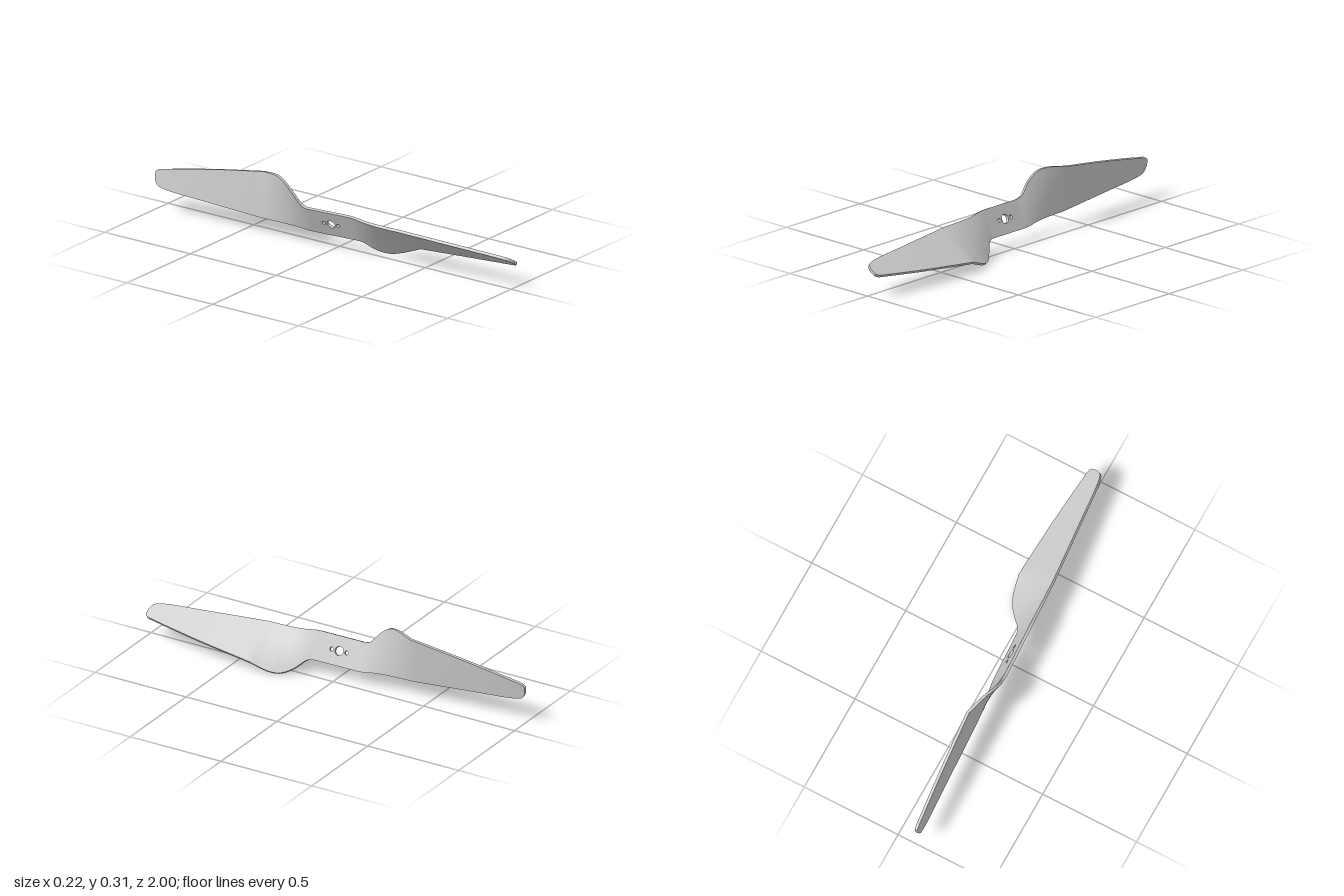
import * as THREE from 'three';
import { toCreasedNormals } from 'three/addons/utils/BufferGeometryUtils.js';

const THICK = 0.014;
const HUB = 0.12; // half length of the flat hub
const HALF_WIDTH = 0.071;
const CHORD = 8;

// Edge points: distance from the hub, across the chord, along the shaft
const LEAD_ROOT = [[0.12, 0.071, 0], [0.15, 0.068, -0.001], [0.2, 0.059, -0.003], [0.25, 0.054, -0.005], [0.3, 0.051, -0.006], [0.4, 0.048, -0.007]];
const TRAIL_ROOT = [[0.12, -0.071, 0], [0.15, -0.08, 0.006], [0.2, -0.133, 0.025], [0.25, -0.167, 0.05], [0.3, -0.172, 0.073], [0.4, -0.149, 0.103]];
const LEAD_TIP = [[0.4, 0.048, -0.007], [0.7, 0.023, -0.002], [0.95, 0, 0.004], [0.985, -0.012, 0.011], [1, -0.035, 0.026]];
const TRAIL_TIP = [[0.4, -0.149, 0.103], [0.7, -0.114, 0.08], [0.95, -0.079, 0.055], [0.985, -0.073, 0.051], [1, -0.063, 0.045]];

function sampleEdge(root, tip) {
  const curve = (pts) => new THREE.CatmullRomCurve3(pts.map(([s, u, v]) => new THREE.Vector3(-s, u, v)));
  const points = [];
  const add = (c, n, first) => {
    for (let i = first; i <= n; i++) points.push(c.getPoint(i / n));
  };
  add(curve(root), 30, 0);
  add(curve(tip), 24, 1);
  return points;
}

// Twisted blade: straight chords between both edges, given thickness
function bladeGeometry() {
  const lead = sampleEdge(LEAD_ROOT, TRAIL_ROOT && LEAD_TIP);
  const trail = sampleEdge(TRAIL_ROOT, TRAIL_TIP);
  const ring = 2 * (CHORD + 1);
  const positions = [];
  const index = [];
  lead.forEach((a, j) => {
    const b = trail[j];
    const normal = new THREE.Vector3(0, b.z - a.z, a.y - b.y).setLength(THICK / 2);
    for (let k = 0; k < ring; k++) {
      const top = k <= CHORD;
      const p = a.clone().lerp(b, (top ? k : ring - 1 - k) / CHORD);
      p.addScaledVector(normal, top ? 1 : -1);
      positions.push(p.x, p.y, p.z);
    }
    if (j === 0) return;
    for (let k = 0; k < ring; k++) {
      const p = (j - 1) * ring + k;
      const q = (j - 1) * ring + (k + 1) % ring;
      index.push(p, p + ring, q, q, p + ring, q + ring);
    }
  });
  // Tip cap
  const last = (lead.length - 1) * ring;
  for (let i = 0; i < CHORD; i++) {
    const t = last + i;
    const b = last + ring - 1 - i;
    index.push(t, b, t + 1, t + 1, b, b - 1);
  }
  const geometry = new THREE.BufferGeometry();
  geometry.setAttribute('position', new THREE.Float32BufferAttribute(positions, 3));
  geometry.setIndex(index);
  return toCreasedNormals(geometry, 0.6);
}

// Flat hub plate with a shaft hole and two pin holes
function hubGeometry() {
  const shape = new THREE.Shape();
  shape.moveTo(-HUB, -HALF_WIDTH);
  shape.lineTo(HUB, -HALF_WIDTH);
  shape.lineTo(HUB, HALF_WIDTH);
  shape.lineTo(-HUB, HALF_WIDTH);
  shape.closePath();
  for (const [x, r] of [[0, 0.022], [-0.04, 0.01], [0.04, 0.01]]) {
    shape.holes.push(new THREE.Path().absarc(x, 0, r, 0, Math.PI * 2, true));
  }
  const geometry = new THREE.ExtrudeGeometry(shape, { depth: THICK, bevelEnabled: false, curveSegments: 16 });
  return toCreasedNormals(geometry.translate(0, 0, -THICK / 2), 0.6);
}

export function createModel() {
  const material = new THREE.MeshStandardMaterial({ color: 0xcccccc });
  const propeller = new THREE.Group();
  propeller.name = 'propeller';

  const hub = new THREE.Mesh(hubGeometry(), material);
  hub.name = 'hub';
  propeller.add(hub);

  const geometry = bladeGeometry();
  ['frontBlade', 'backBlade'].forEach((name, i) => {
    const blade = new THREE.Mesh(geometry, material);
    blade.name = name;
    blade.rotation.z = i * Math.PI;
    propeller.add(blade);
  });

  // Lean the hub: its length runs along z, its shaft mostly along x
  const lean = THREE.MathUtils.degToRad(24);
  const across = new THREE.Vector3(-Math.sin(lean), Math.cos(lean), 0);
  const along = new THREE.Vector3(-0.05 * Math.cos(lean), -0.05 * Math.sin(lean), -1).normalize();
  const shaft = along.clone().cross(across);
  propeller.quaternion.setFromRotationMatrix(new THREE.Matrix4().makeBasis(along, across, shaft));

  // Rest on the ground, centred
  const model = new THREE.Group();
  model.name = 'propellerModel';
  model.add(propeller);
  model.updateMatrixWorld(true);
  const box = new THREE.Box3().setFromObject(model, true);
  const centre = box.getCenter(new THREE.Vector3());
  propeller.position.set(-centre.x, -box.min.y, -centre.z);
  return model;
}
